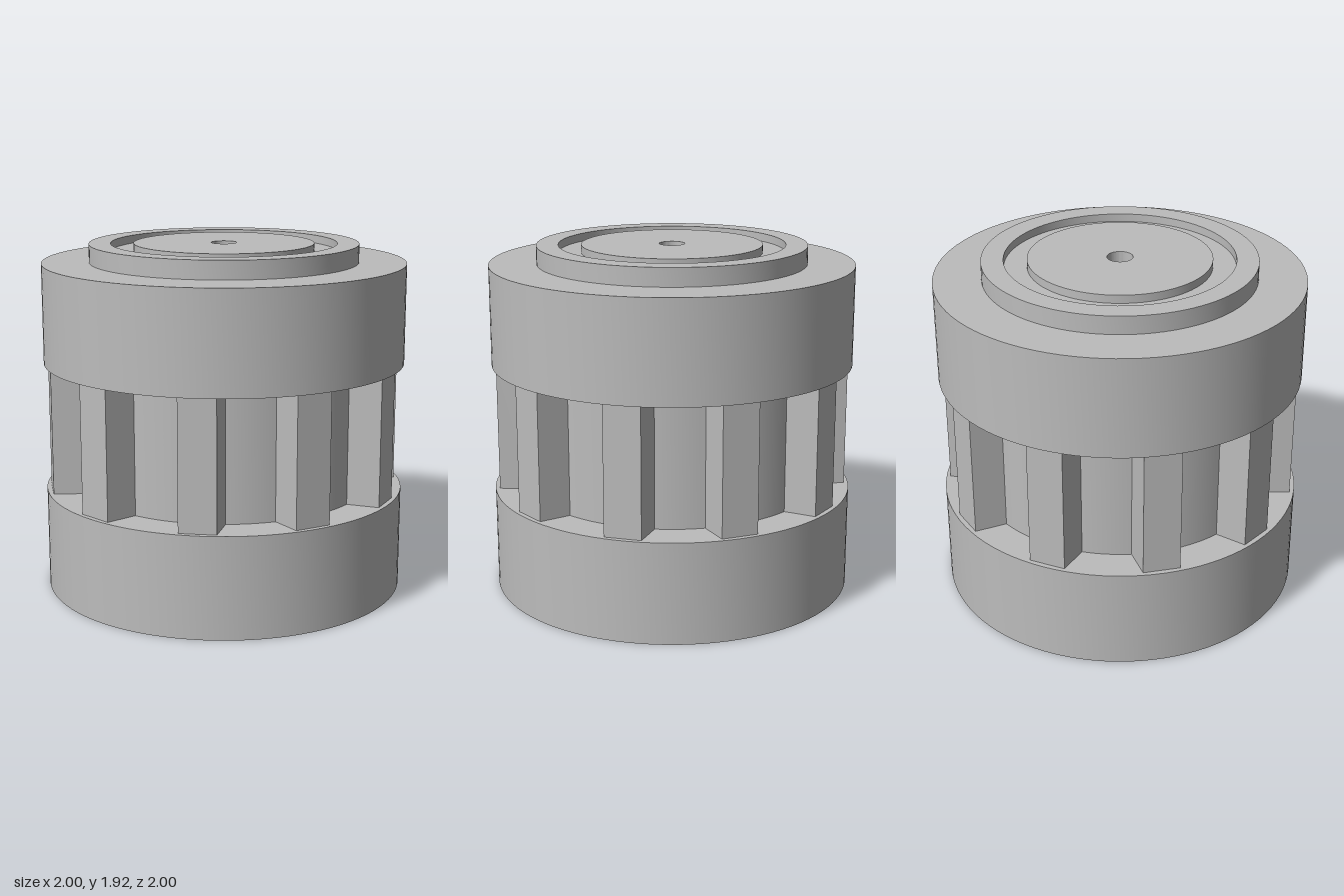
import * as THREE from 'three';
import { toCreasedNormals } from 'three/addons/utils/BufferGeometryUtils.js';

const TEETH = 10, CORE_R = 0.804, TIP_R = 0.972, ROOT_HALF = 0.12, TIP_HALF = 0.1;

export function createModel() {
  const group = new THREE.Group();
  const grey = new THREE.MeshStandardMaterial({ color: 0xbcbcbc });
  grey.name = 'grey metal';

  const add = (name, geometry) => {
    const mesh = new THREE.Mesh(toCreasedNormals(geometry, 0.4), grey);
    mesh.name = name;
    group.add(mesh);
  };

  // D-shaped shaft bore with its flat towards the back
  const boreR = 0.128, flat = Math.asin(0.095 / boreR);
  const bore = new THREE.Path();
  bore.absarc(0, 0, boreR, Math.PI - flat, Math.PI * 2 + flat, false);
  bore.closePath();

  // Upright prism with the bore through it
  const prism = (shape, y0, y1) => {
    shape.holes.push(bore);
    return new THREE.ExtrudeGeometry(shape, { depth: y1 - y0, bevelEnabled: false, curveSegments: 48 })
      .rotateX(-Math.PI / 2).translate(0, y0, 0);
  };
  const disc = () => new THREE.Shape().absarc(0, 0, 1, 0, Math.PI * 2, false);

  // Toothed outline: flat tapered teeth joined by arcs of the core
  const outline = [];
  const pitch = Math.PI * 2 / TEETH, rootAngle = Math.asin(ROOT_HALF / CORE_R);
  for (let i = 0; i < TEETH; i++) {
    const a = i * pitch - Math.PI / 2;
    const polar = (r, t) => outline.push(new THREE.Vector2(r * Math.cos(t), r * Math.sin(t)));
    const tipAngle = Math.atan(TIP_HALF / TIP_R), tip = Math.hypot(TIP_R, TIP_HALF);
    polar(CORE_R, a - rootAngle);
    polar(tip, a - tipAngle);
    polar(tip, a + tipAngle);
    for (let k = 0; k < 8; k++) polar(CORE_R, a + rootAngle + (pitch - 2 * rootAngle) * k / 8);
  }

  add('lowerFlange', prism(disc(), 0, 0.56));
  add('toothedCore', prism(new THREE.Shape(outline), 0.56, 1.27));
  add('upperFlange', prism(disc(), 1.27, 1.82));

  // Top boss: raised rim, sunken groove, centre disc and narrow hole
  const profile = [
    [0.07, 1.82], [0.74, 1.82], [0.74, 1.92], [0.62, 1.92], [0.62, 1.875],
    [0.495, 1.875], [0.495, 1.92], [0.07, 1.92], [0.07, 1.82],
  ].map(([r, y]) => new THREE.Vector2(r, y));
  add('topBoss', new THREE.LatheGeometry(profile, 96));

  return group;
}
